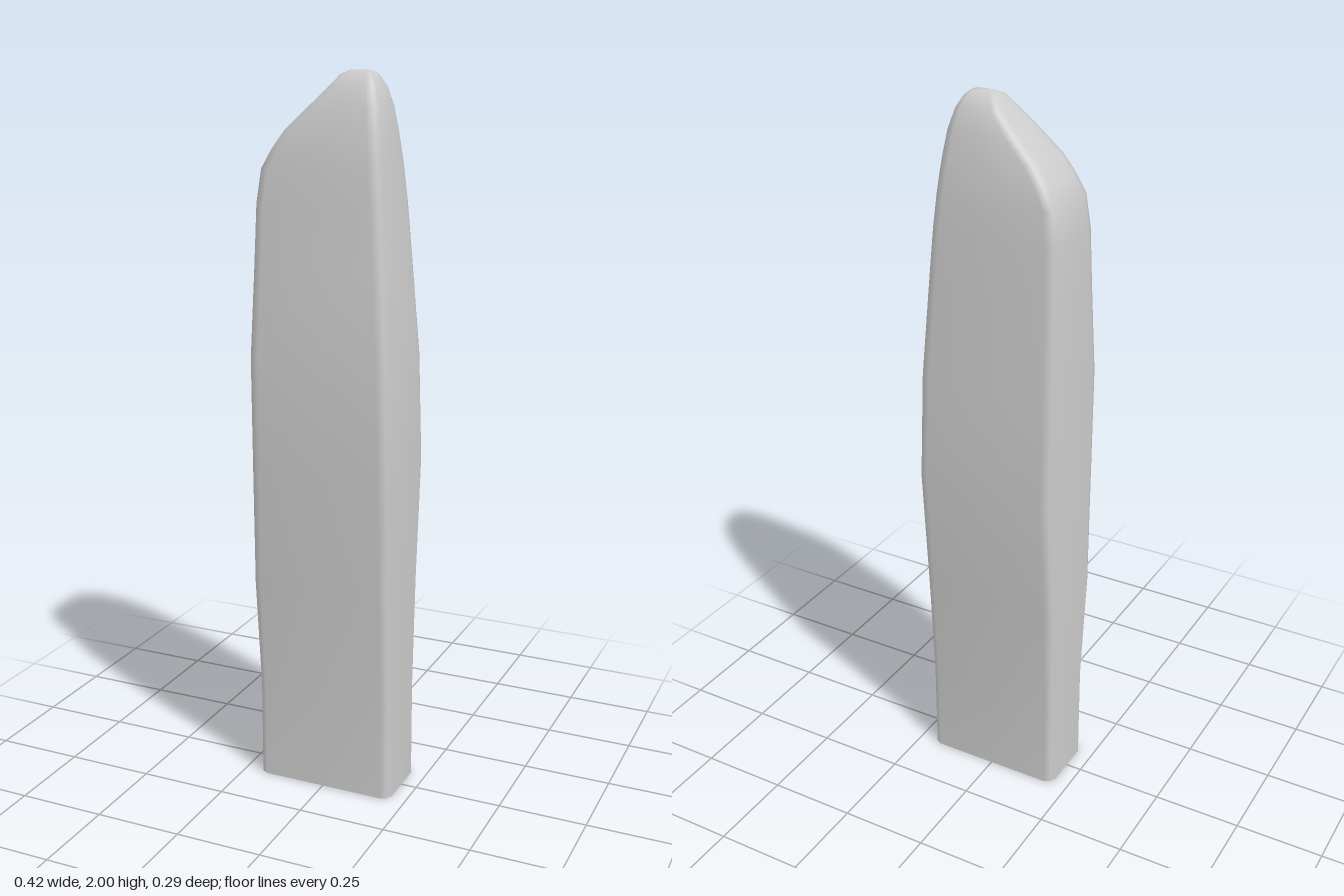
import * as THREE from 'three';

// Lofted rings: [height, left x, right x, back depth, front depth, corner size]
const RINGS = [
  [0, -0.204, 0.205, 0.1, 0.1, 0.025],
  [0.28, -0.204, 0.205, 0.102, 0.102, 0.026],
  [0.6, -0.212, 0.206, 0.122, 0.12, 0.03],
  [0.95, -0.207, 0.211, 0.143, 0.138, 0.034],
  [1.25, -0.207, 0.206, 0.131, 0.143, 0.036],
  [1.5, -0.202, 0.186, 0.12, 0.122, 0.035],
  [1.66, -0.198, 0.173, 0.112, 0.112, 0.034],
  [1.75, -0.187, 0.164, 0.105, 0.104, 0.034],
  [1.8, -0.16, 0.159, 0.098, 0.098, 0.034],
  [1.85, -0.125, 0.153, 0.09, 0.09, 0.034],
  [1.91, -0.062, 0.144, 0.077, 0.077, 0.032],
  [1.96, -0.01, 0.129, 0.06, 0.058, 0.027],
  [1.99, 0.018, 0.111, 0.036, 0.036, 0.016],
  [2.0, 0.04, 0.095, 0.014, 0.014, 0.006],
];

// Soft-cornered rectangle with slightly bowed faces
function section([y, l, r, b, f, c]) {
  const m = (l + r) / 2, bow = 0.005 * Math.min(1, y);
  return [
    [r, 0], [r - bow, f - c], [r - c * 0.35, f - c * 0.35], [r - c, f - bow],
    [m, f], [l + c, f - bow], [l + c * 0.35, f - c * 0.35], [l + bow, f - c],
    [l, 0], [l + bow, c - b], [l + c * 0.35, c * 0.35 - b], [l + c, bow - b],
    [m, -b], [r - c, bow - b], [r - c * 0.35, c * 0.35 - b], [r - bow, c - b],
  ].map(([x, z]) => [x, y, z]);
}

export function createModel() {
  const positions = RINGS.flatMap(section).flat();
  const n = 16, index = [];
  for (let i = 0; i < RINGS.length - 1; i++) {
    for (let j = 0; j < n; j++) {
      const a = i * n + j, b = i * n + (j + 1) % n;
      index.push(a, a + n, b, b, a + n, b + n);
    }
  }

  // Close the tip; the base stays open
  const tip = positions.length / 3, last = tip - n;
  positions.push(0.068, 2.0, 0);
  for (let j = 0; j < n; j++) index.push(last + j, tip, last + (j + 1) % n);

  const geometry = new THREE.BufferGeometry();
  geometry.setAttribute('position', new THREE.Float32BufferAttribute(positions, 3));
  geometry.setIndex(index);
  geometry.computeVertexNormals();

  const shell = new THREE.Mesh(geometry, new THREE.MeshStandardMaterial({
    color: 0xcccccc, side: THREE.DoubleSide,
  }));
  shell.name = 'taperedShell';
  const group = new THREE.Group();
  group.name = 'slantedTipSleeve';
  group.add(shell);
  return group;
}
